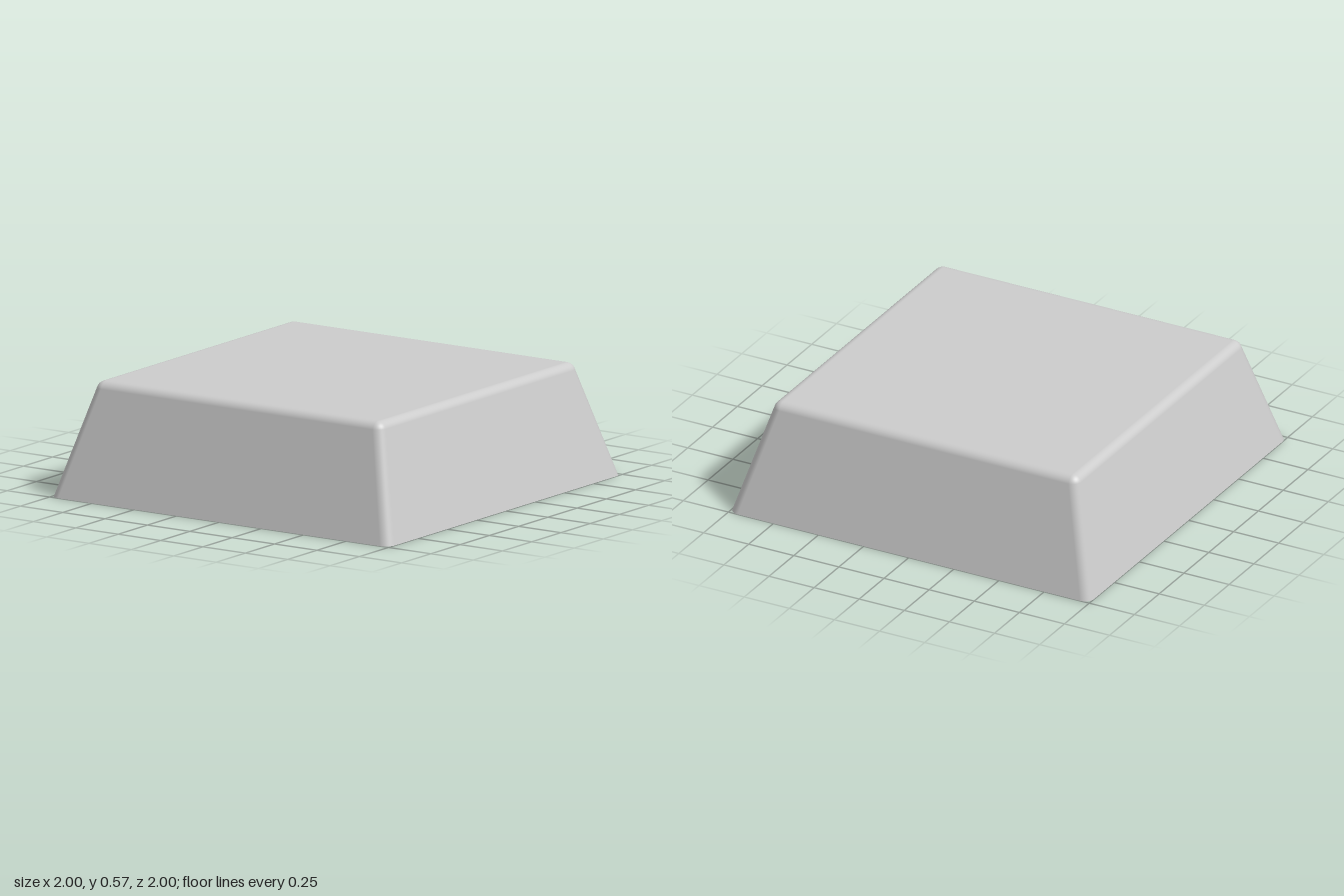
import * as THREE from 'three';

const HEIGHT = 0.57;
const TAPER = 0.284;          // inward lean of the sides per unit of height
const R = 0.05;               // rounding of the top and corner edges
const HOLE = 0.81;            // half width of the underside recess
const DEPTH = 0.23;           // depth of the recess
const STEPS = 8;

const tilt = Math.atan(TAPER);
const baseR = R / Math.cos(tilt);
const core = 1 - TAPER * (HEIGHT - R) - baseR;

// Tapered shell lofted from rounded squares, with exact smooth normals
function shellGeometry() {
  const rings = [{ half: 1, r: baseR, y: 0, a: tilt }];
  for (let i = 0; i <= STEPS; i++) {
    const a = tilt + (Math.PI / 2 - tilt) * i / STEPS;
    rings.push({ half: core + R * Math.cos(a), r: R * Math.cos(a), y: HEIGHT - R + R * Math.sin(a), a });
  }
  const pos = [], nor = [], idx = [];
  const n = 4 * (STEPS + 1);
  for (const { half, r, y, a } of rings) {
    for (let q = 0; q < 4; q++) {
      const mid = Math.PI / 4 + q * Math.PI / 2;
      const cx = Math.sign(Math.cos(mid)) * (half - r);
      const cz = Math.sign(Math.sin(mid)) * (half - r);
      for (let s = 0; s <= STEPS; s++) {
        const t = (q + s / STEPS) * Math.PI / 2;
        pos.push(cx + r * Math.cos(t), y, cz + r * Math.sin(t));
        nor.push(Math.cos(a) * Math.cos(t), Math.sin(a), Math.cos(a) * Math.sin(t));
      }
    }
  }
  for (let k = 0; k < rings.length - 1; k++) {
    for (let i = 0; i < n; i++) {
      const j = (i + 1) % n, a = k * n + i, b = k * n + j;
      idx.push(a, a + n, b, b, a + n, b + n);
    }
  }
  const g = new THREE.BufferGeometry();
  g.setAttribute('position', new THREE.Float32BufferAttribute(pos, 3));
  g.setAttribute('normal', new THREE.Float32BufferAttribute(nor, 3));
  g.setIndex(idx);
  return g;
}

// Flat underside rim: rounded square with a square opening
function rimGeometry() {
  const c = 1 - baseR;
  const shape = new THREE.Shape();
  shape.absarc(c, c, baseR, 0, Math.PI / 2);
  shape.absarc(-c, c, baseR, Math.PI / 2, Math.PI);
  shape.absarc(-c, -c, baseR, Math.PI, Math.PI * 1.5);
  shape.absarc(c, -c, baseR, Math.PI * 1.5, Math.PI * 2);
  shape.closePath();
  const hole = new THREE.Path();
  hole.moveTo(-HOLE, -HOLE).lineTo(-HOLE, HOLE).lineTo(HOLE, HOLE).lineTo(HOLE, -HOLE).closePath();
  shape.holes.push(hole);
  return new THREE.ShapeGeometry(shape, STEPS).rotateX(Math.PI / 2);
}

// Recess: a box turned inside out, open at the bottom
function recessGeometry() {
  const g = new THREE.BoxGeometry(2 * HOLE, DEPTH, 2 * HOLE);
  const index = Array.from(g.index.array);
  index.splice(12, 6);
  g.setIndex(index);
  g.clearGroups();
  return g.scale(-1, -1, -1).translate(0, DEPTH / 2, 0);
}

export function createModel() {
  const group = new THREE.Group();
  group.name = 'taperedBlock';
  const material = new THREE.MeshStandardMaterial({ color: 0xcccccc });
  const add = (name, geometry) => {
    const mesh = new THREE.Mesh(geometry, material);
    mesh.name = name;
    group.add(mesh);
  };
  add('outerShell', shellGeometry());
  add('topFace', new THREE.PlaneGeometry(2 * core, 2 * core).rotateX(-Math.PI / 2).translate(0, HEIGHT, 0));
  add('bottomRim', rimGeometry());
  add('undersideRecess', recessGeometry());
  return group;
}
